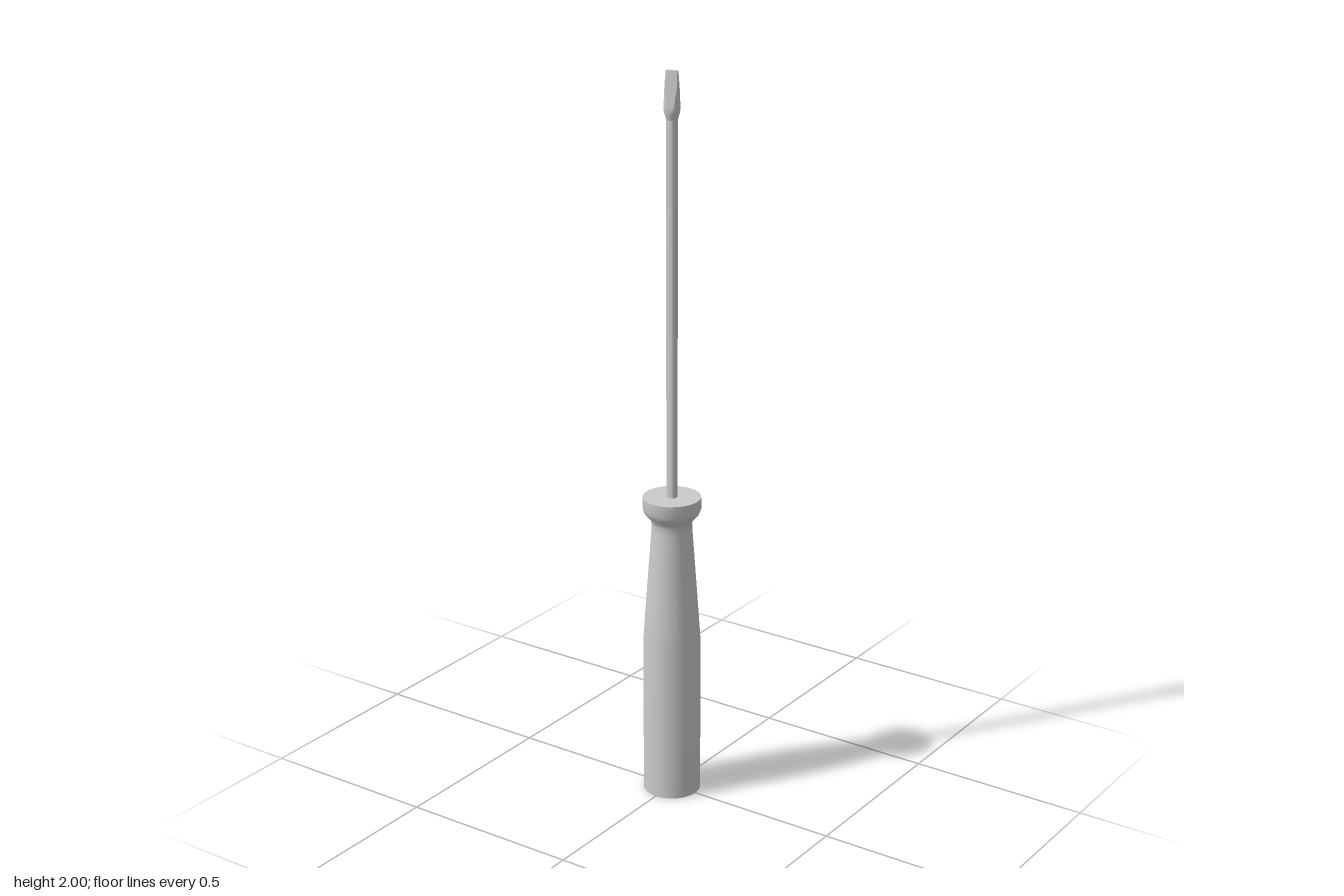
import * as THREE from 'three';
import { toCreasedNormals } from 'three/addons/utils/BufferGeometryUtils.js';

const material = new THREE.MeshStandardMaterial({ color: 0xcccccc });

// Turned solid from [radius, height] pairs, bottom to top
function turned(profile, segments) {
  return new THREE.LatheGeometry(profile.map(([r, y]) => new THREE.Vector2(r, y)), segments);
}

function addPart(group, name, geometry, crease = 0.6) {
  const mesh = new THREE.Mesh(toCreasedNormals(geometry, crease), material);
  mesh.name = name;
  group.add(mesh);
  return mesh;
}

export function createModel() {
  const group = new THREE.Group();
  group.name = 'screwdriver';

  // Handle: straight grip, tapered waist, flared collar
  addPart(group, 'handle', turned([
    [0, 0], [0.078, 0], [0.078, 0.44], [0.074, 0.5], [0.055, 0.765], [0.054, 0.785],
    [0.058, 0.798], [0.073, 0.814], [0.078, 0.827], [0.078, 0.86], [0, 0.86],
  ], 24));

  // Shaft
  addPart(group, 'shaft', turned([[0.015, 0.85], [0.015, 1.885]], 24));

  // Blade: a bulged tip whose front and back are ground down to a flat edge
  const profile = [[0.015, 1.875], [0.0175, 1.885], [0.02, 1.893], [0.021, 1.9]];
  for (let i = 1; i <= 10; i++) {
    const t = i / 10;
    profile.push([0.021 - 0.0055 * t * t, 1.9 + 0.1 * t]);
  }
  profile.push([0, 2]);
  const tip = turned(profile, 40);
  const p = tip.attributes.position;
  for (let i = 0; i < p.count; i++) {
    const t = THREE.MathUtils.clamp((p.getY(i) - 1.9) / 0.1, 0, 1);
    const half = THREE.MathUtils.lerp(0.021, 0.0045, t);
    p.setZ(i, THREE.MathUtils.clamp(p.getZ(i), -half, half));
  }
  addPart(group, 'blade', tip, 0.4).rotation.y = 0.35;

  return group;
}
